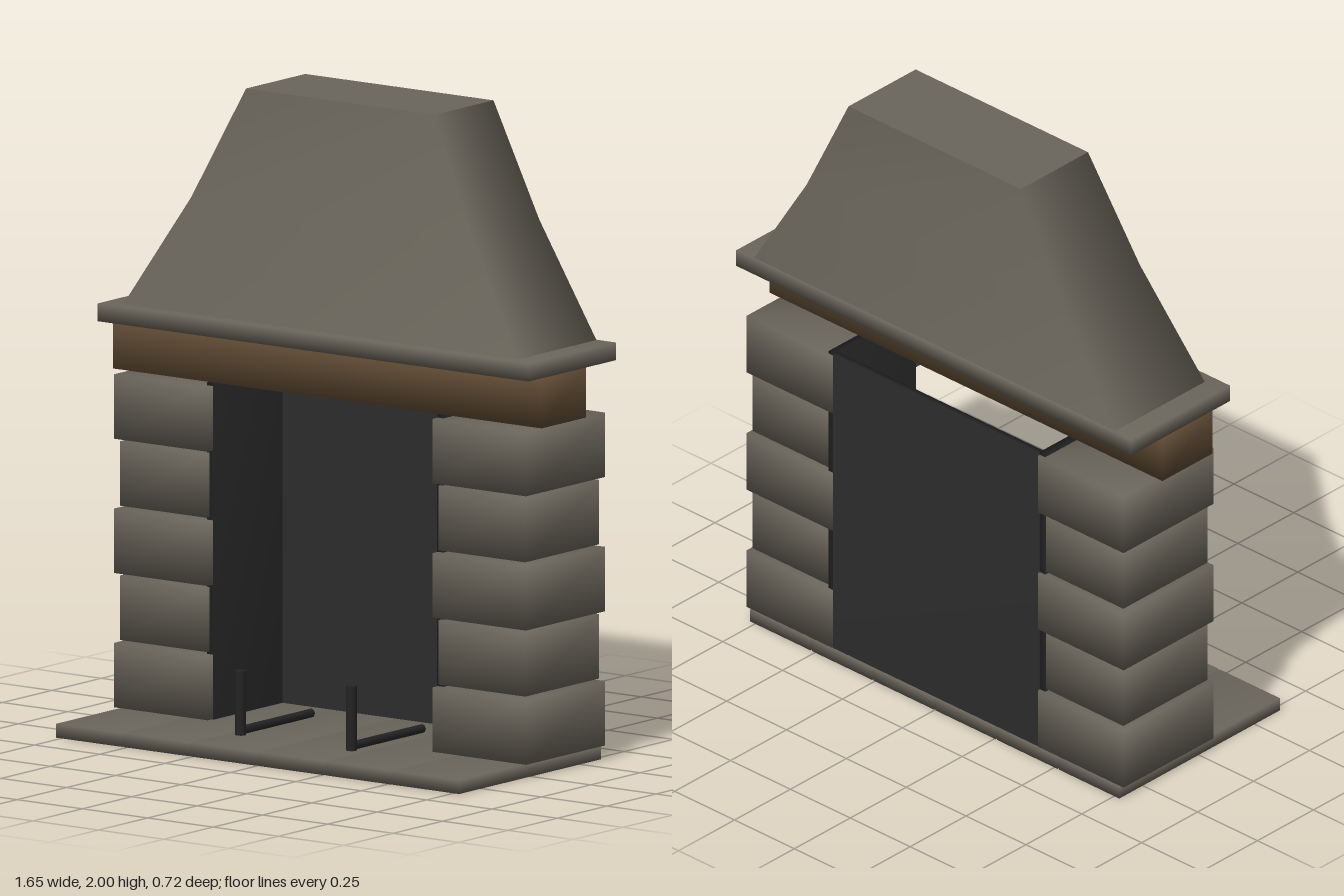
import * as THREE from 'three';
import { mergeVertices } from 'three/addons/utils/BufferGeometryUtils.js';

const stone = new THREE.MeshStandardMaterial({ color: 0x6a655b });
stone.name = 'stone';
const wood = new THREE.MeshStandardMaterial({ color: 0x5e4a33 });
wood.name = 'wood';
const soot = new THREE.MeshStandardMaterial({ color: 0x2c2c2d });
soot.name = 'soot';
const iron = new THREE.MeshStandardMaterial({ color: 0x242425 });
iron.name = 'iron';

function add(parent, name, geometry, material) {
  const mesh = new THREE.Mesh(geometry, material);
  mesh.name = name;
  parent.add(mesh);
  return mesh;
}

// Box between two corners, with normals shared softly across its edges
function softBox(x0, x1, y0, y1, z0, z1) {
  let g = new THREE.BoxGeometry(x1 - x0, y1 - y0, z1 - z0);
  g.deleteAttribute('uv');
  g.deleteAttribute('normal');
  g = mergeVertices(g);
  g.computeVertexNormals();
  g.translate((x0 + x1) / 2, (y0 + y1) / 2, (z0 + z1) / 2);
  return g;
}

// Tapering hood walls from rectangular rings sharing one vertical back plane
function hoodWalls(rings, back) {
  const pos = [], idx = [];
  for (const [y, w, front] of rings) {
    pos.push(-w, y, front, w, y, front, w, y, back, -w, y, back);
  }
  for (let r = 0; r < rings.length - 1; r++) {
    for (let i = 0; i < 4; i++) {
      const a = r * 4 + i, b = r * 4 + (i + 1) % 4;
      idx.push(a, b, b + 4, a, b + 4, a + 4);
    }
  }
  const g = new THREE.BufferGeometry();
  g.setAttribute('position', new THREE.Float32BufferAttribute(pos, 3));
  g.setIndex(idx);
  g.computeVertexNormals();
  return g;
}

export function createModel() {
  const model = new THREE.Group();
  model.name = 'fireplace';

  // Hearth: a row of six slabs
  const hearth = new THREE.Group();
  hearth.name = 'hearth';
  model.add(hearth);
  for (let i = 0; i < 6; i++) {
    const x = (i - 2.5) * 0.258;
    add(hearth, 'hearthSlab', softBox(x - 0.126, x + 0.126, 0, 0.043, -0.355, 0.363), stone);
  }

  for (const side of [-1, 1]) {
    // Pillar: five stones, wide and narrow in turn
    const pillar = new THREE.Group();
    pillar.name = side > 0 ? 'leftPillar' : 'rightPillar';
    model.add(pillar);
    for (let row = 0; row < 5; row++) {
      const inset = row % 2 ? 0.013 : 0;
      const y = 0.045 + row * 0.2085;
      const cx = side * 0.609, hx = 0.179 - inset;
      add(pillar, 'pillarStone',
        softBox(cx - hx, cx + hx, y, y + 0.2, -0.354 + inset, 0.047 - inset), stone);
    }

    // Firebox cheek
    const px = side * 0.44;
    add(model, 'fireboxSide', softBox(px - 0.012, px + 0.012, 0.043, 1.088, -0.345, 0.02), soot);

    // Andiron: upright post and rear bar
    const andiron = new THREE.Group();
    andiron.name = 'andiron';
    andiron.position.x = side * 0.212;
    model.add(andiron);
    add(andiron, 'andironPost', new THREE.CylinderGeometry(0.017, 0.017, 0.2, 8), iron)
      .position.set(0, 0.143, 0.168);
    const bar = add(andiron, 'andironBar', new THREE.CylinderGeometry(0.014, 0.014, 0.36, 8), iron);
    bar.rotation.x = Math.PI / 2;
    bar.position.set(0, 0.057, -0.01);
  }

  // Firebox back
  add(model, 'fireboxBack', softBox(-0.43, 0.43, 0.043, 1.088, -0.35, -0.33), soot);

  // Lintel beam and shelf
  add(model, 'beam', softBox(-0.82, 0.82, 1.088, 1.248, -0.215, 0.01), wood);
  add(model, 'shelf', softBox(-0.825, 0.825, 1.245, 1.3, -0.36, 0.082), stone);

  // Chimney hood and its flat top
  const hood = new THREE.Group();
  hood.name = 'hood';
  model.add(hood);
  add(hood, 'hoodWalls',
    hoodWalls([[1.298, 0.755, 0.046], [1.65, 0.535, -0.01], [2, 0.36, -0.055]], -0.355), stone);
  const cap = add(hood, 'hoodTop', new THREE.PlaneGeometry(0.72, 0.3), stone);
  cap.rotation.x = -Math.PI / 2;
  cap.position.set(0, 2, -0.205);

  return model;
}
